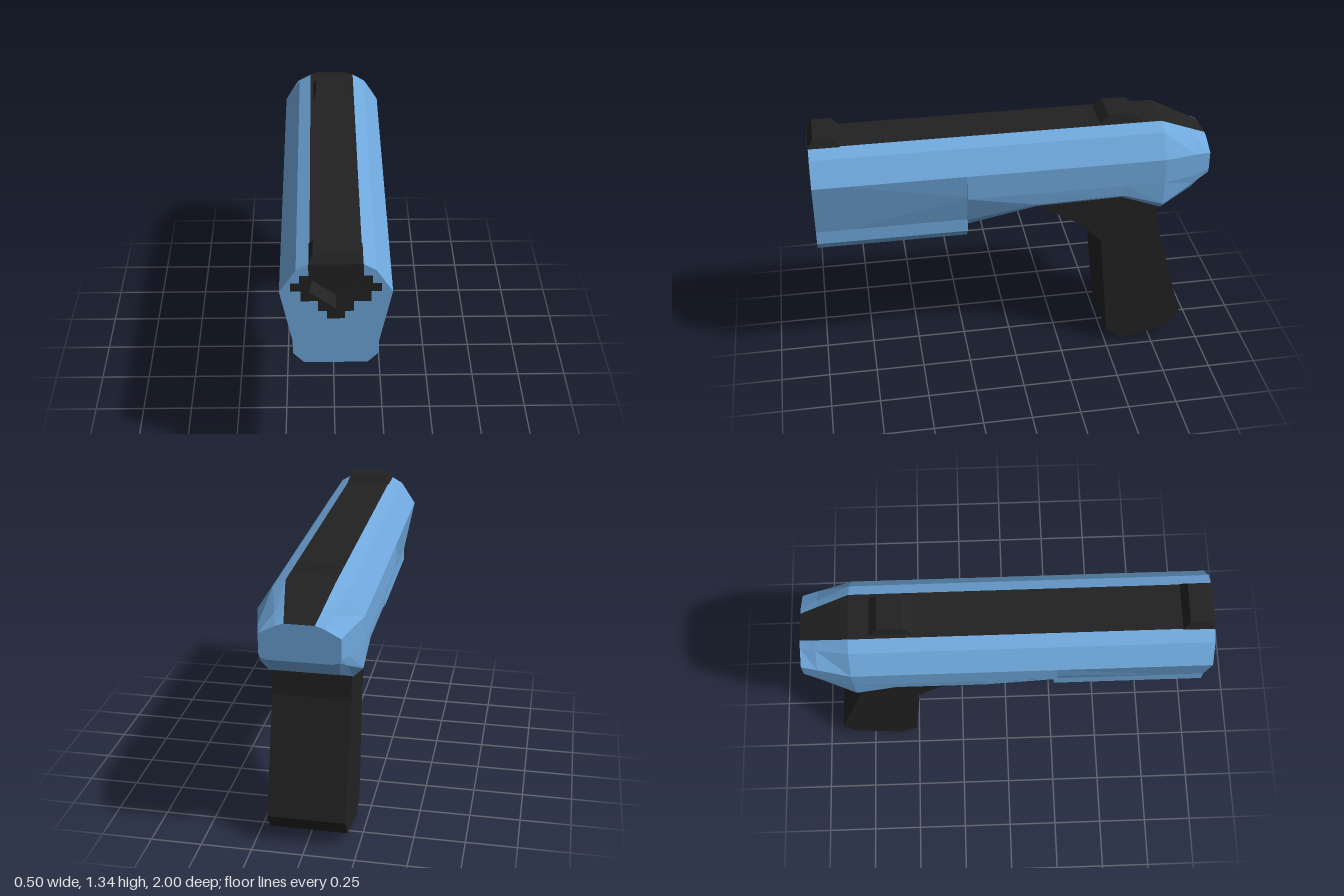
import * as THREE from 'three';

const blue = new THREE.MeshStandardMaterial({ color: 0x6fa8dc });
blue.name = 'sky blue';
const black = new THREE.MeshStandardMaterial({ color: 0x222222 });
black.name = 'charcoal';

// Mirror a right-hand half profile (top to bottom) into a full ring
const ringOf = half => [...half, ...half.map(([x, y]) => [-x, y]).reverse()];

// Flat-shaded geometry from a list of triangles
function facets(tris) {
  const g = new THREE.BufferGeometry();
  g.setAttribute('position', new THREE.Float32BufferAttribute(tris.flat(2), 3));
  g.computeVertexNormals();
  return g;
}

// Skin sections ordered front to back; the last strip of each ring is the top
function loft(sections, topOnly, capFront, capBack) {
  const rings = sections.map(([z, half]) => ringOf(half).map(([x, y]) => [x, y, z]));
  const n = rings[0].length, tris = [];
  for (let i = 0; i < rings.length - 1; i++) {
    for (let j = 0; j < n; j++) {
      if ((j === n - 1) !== topOnly) continue;
      const k = (j + 1) % n;
      const a = rings[i][j], b = rings[i][k], c = rings[i + 1][k], d = rings[i + 1][j];
      tris.push([a, b, c], [a, c, d]);
    }
  }
  const first = rings[0], last = rings[rings.length - 1];
  for (let j = 1; j < n - 1; j++) {
    if (capFront) tris.push([first[0], first[j + 1], first[j]]);
    if (capBack) tris.push([last[0], last[j], last[j + 1]]);
  }
  return facets(tris);
}

const shapeOf = pts => new THREE.Shape(pts.map(([x, y]) => new THREE.Vector2(x, y)));

export function createModel() {
  const group = new THREE.Group();
  const add = (name, geometry, material) => {
    const m = new THREE.Mesh(geometry, material);
    m.name = name;
    group.add(m);
    return m;
  };

  // Shared upper profile and the body sections
  const upper = [[0.115, 1.3], [0.175, 1.265], [0.25, 1.15]];
  const keel = [[0.195, 0.87], [0.195, 0.8], [0.145, 0.745]];
  const noseProfile = [...upper, [0.195, 0.87], ...keel];
  const nose = [
    [0.996, noseProfile],
    [0.83, noseProfile],
    [0.24, [...upper, [0.232, 1.02], ...keel]],
  ];
  const rear = [
    [0.243, [...upper, [0.25, 1.02], [0.2, 0.87], [0.16, 0.82]]],
    [-0.11, [...upper, [0.25, 1.02], [0.243, 0.95], [0.2, 0.915]]],
    [-0.55, [...upper, [0.25, 1.02], [0.245, 0.96], [0.2, 0.925]]],
    [-0.755, [...upper, [0.25, 1.02], [0.245, 0.89], [0.2, 0.845]]],
    [-0.92, [[0.085, 1.226], [0.13, 1.207], [0.208, 1.142], [0.208, 1.02], [0.2, 0.975], [0.165, 0.93]]],
    [-1, [[0.07, 1.19], [0.108, 1.178], [0.188, 1.135], [0.188, 1.04], [0.182, 1.02], [0.15, 1.01]]],
  ];
  add('frontBody', loft(nose, false, false, true), blue);
  add('rearBody', loft(rear, false, true, true), blue);
  add('frontTopStrip', loft(nose, true), black);
  add('rearTopStrip', loft(rear, true), black);

  // Muzzle face with a five-sided bore
  const bore = [[-0.095, 1.25], [0.095, 1.25], [0.12, 1.15], [0, 1.06], [-0.12, 1.15]];
  const withBore = pts => {
    const s = shapeOf(pts);
    s.holes.push(shapeOf(bore));
    return s;
  };
  const face = new THREE.ShapeGeometry(withBore(ringOf([...upper, ...keel])));
  add('muzzleFace', face.translate(0, 0, 0.996), blue);

  // Stepped dark plate around the bore
  const steps = [[0.12, 1.3], [0.12, 1.235], [0.16, 1.235], [0.16, 1.195], [0.2, 1.195], [0.2, 1.155],
    [0.155, 1.155], [0.155, 1.1], [0.08, 1.1], [0.08, 1.045], [0.04, 1.045], [0.04, 1.003]];
  const plate = new THREE.ExtrudeGeometry(withBore(ringOf(steps)), { depth: 0.005, bevelEnabled: false });
  add('muzzlePlate', plate.translate(0, 0, 0.995), black);

  // Bore walls face inward
  const walls = [];
  bore.forEach(([x, y], i) => {
    const [u, v] = bore[(i + 1) % bore.length];
    walls.push([[x, y, 1], [x, y, 0.9], [u, v, 0.9]], [[x, y, 1], [u, v, 0.9], [u, v, 1]]);
  });
  const wallGeometry = facets(walls);
  const dark = black.clone();
  dark.side = THREE.DoubleSide;
  dark.name = 'charcoal bore';
  add('boreWalls', wallGeometry, dark);
  add('boreFloor', new THREE.ShapeGeometry(shapeOf(bore)).translate(0, 0, 0.9), black);

  // Sights: tapered blocks on the top strip
  const sight = (name, z0, z1, t0, t1, w, wt) => {
    const g = new THREE.BoxGeometry(1, 1, 1);
    const p = g.attributes.position;
    for (let i = 0; i < p.count; i++) {
      const top = p.getY(i) > 0, front = p.getZ(i) > 0;
      p.setXYZ(i, Math.sign(p.getX(i)) * (top ? wt : w), top ? 1.343 : 1.295,
        top ? (front ? t0 : t1) : (front ? z0 : z1));
    }
    const flat = g.toNonIndexed();
    flat.computeVertexNormals();
    add(name, flat, black);
  };
  sight('frontSight', 1, 0.84, 0.97, 0.875, 0.12, 0.1);
  sight('rearSight', -0.44, -0.66, -0.49, -0.615, 0.1, 0.085);

  // Grip: side profile extruded across the width
  const gripProfile = [[0.1, 0.922], [0.35, 0.77], [0.455, 0.66], [0.51, 0.065], [0.6, 0.003],
    [0.855, 0.055], [0.915, 0.145], [0.755, 0.72], [0.74, 0.9], [0.55, 0.96], [0.11, 0.94]];
  const grip = new THREE.ExtrudeGeometry(shapeOf(gripProfile), { depth: 0.38, bevelEnabled: false });
  add('grip', grip.translate(0, 0, -0.19).rotateY(Math.PI / 2), black);

  return group;
}
